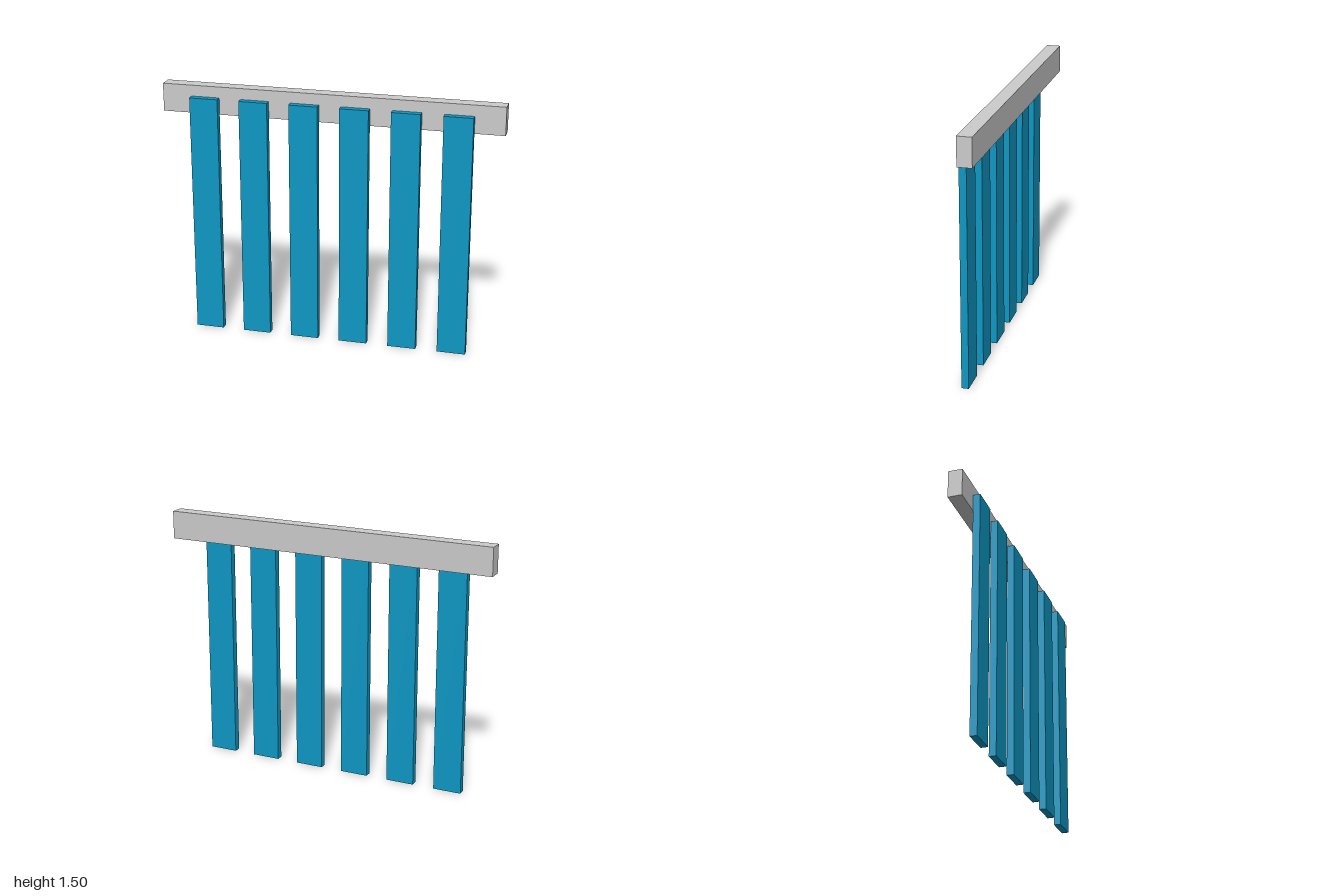
import * as THREE from 'three';

export function createModel() {
  const group = new THREE.Group();
  const grey = new THREE.MeshStandardMaterial({ color: 0xcccccc });
  const blue = new THREE.MeshStandardMaterial({ color: 0x0e98c4 });

  // Box given by its centre x and its y and z ranges
  const addBox = (name, material, x, width, [y0, y1], [z0, z1]) => {
    const mesh = new THREE.Mesh(new THREE.BoxGeometry(width, y1 - y0, z1 - z0), material);
    mesh.position.set(x, (y0 + y1) / 2, (z0 + z1) / 2);
    mesh.name = name;
    group.add(mesh);
  };

  // Horizontal rail at the back
  addBox('topRail', grey, 0, 2, [1.34, 1.505], [-0.0625, 0.021]);

  // Six slats hanging from the front of the rail
  const count = 6, pitch = 0.297;
  for (let i = 0; i < count; i++) {
    const x = (i - (count - 1) / 2) * pitch;
    addBox(`slat${i + 1}`, blue, x, 0.168, [0, 1.44], [0.021, 0.0625]);
  }
  return group;
}
